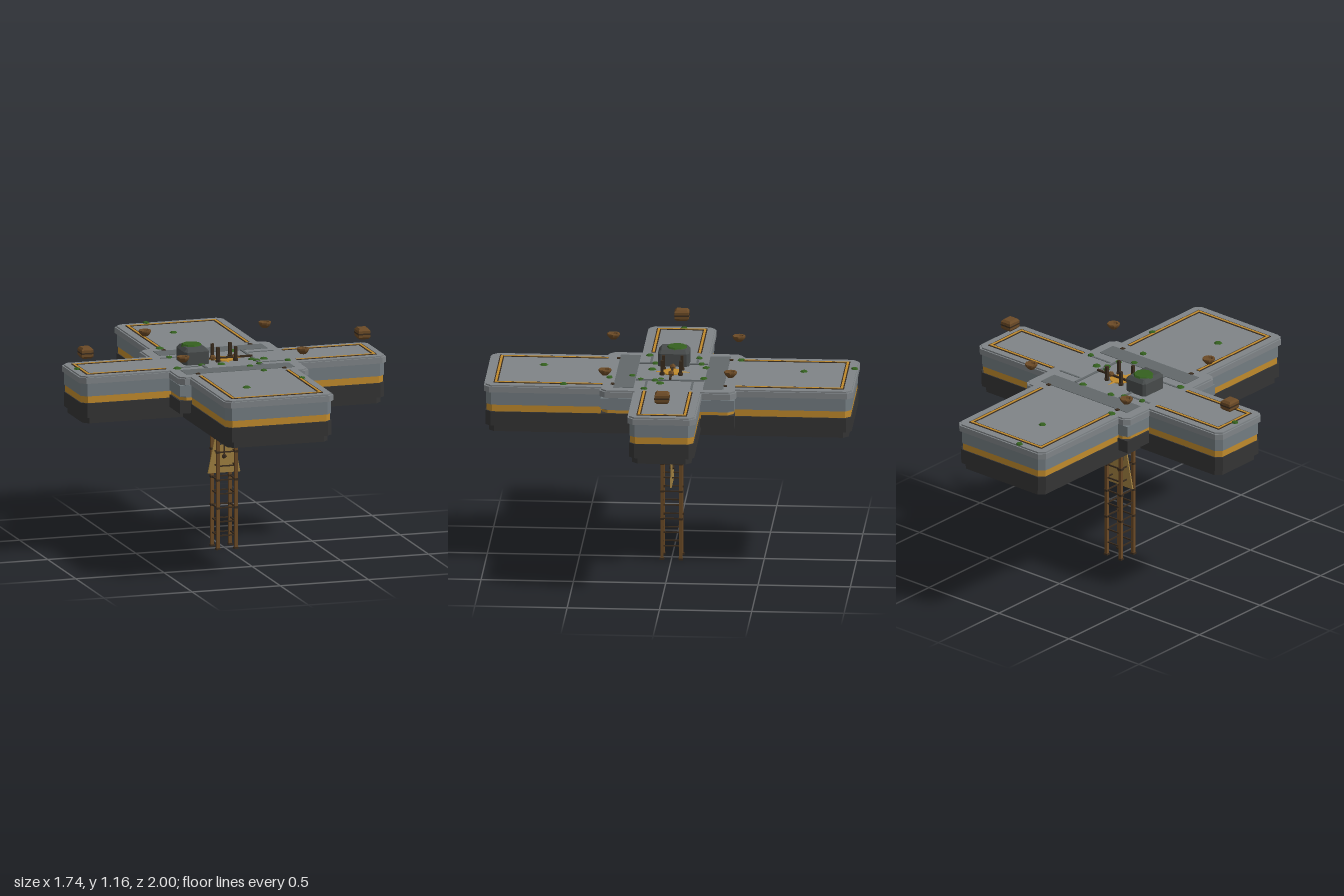
import * as THREE from 'three';

const mat = (name, hex) => {
  const m = new THREE.MeshStandardMaterial({ color: hex, side: THREE.DoubleSide, flatShading: true });
  m.name = name;
  return m;
};

export function createModel() {
  const root = new THREE.Group();
  root.name = 'crossPlatform';
  const M = {
    stone: mat('lightStone', 0x7f8487), wall: mat('wallStone', 0x737c81), strip: mat('darkStone', 0x62686a),
    gold: mat('gold', 0xc08a2c), dark: mat('charcoal', 0x343434), rock: mat('rock', 0x474b4b),
    moss: mat('moss', 0x34601f), wood: mat('brown', 0x6b4a26), iron: mat('darkBrown', 0x3a2c1e), brass: mat('brass', 0xa08040),
  };

  const add = (name, geo, material, x = 0, y = 0, z = 0, parent = root) => {
    const mesh = new THREE.Mesh(geo, material);
    mesh.name = name;
    mesh.position.set(x, y, z);
    parent.add(mesh);
    return mesh;
  };
  const box = (name, w, h, d, material, x, y, z, parent) =>
    add(name, new THREE.BoxGeometry(w, h, d), material, x, y, z, parent);

  // Cross outline with clipped arm ends and optional corner posts
  const crossShape = (inset, posts) => {
    const c = 0.03, X = 0.87 - inset, Z = 1 - inset, w = 0.185 - inset, v = 0.31 - inset, p = 0.37 - inset;
    const inner = posts ? [[p, w], [p, p - c], [p - c, p], [v, p]] : [[v, w]];
    const q = [[X, w - c], [X - c, w], ...inner, [v, Z - c], [v - c, Z]];
    const flip = (pts, sx, sy) => pts.map(([x, y]) => [x * sx, y * sy]);
    const r = [...q].reverse();
    const all = [...q, ...flip(r, -1, 1), ...flip(q, -1, -1), ...flip(r, 1, -1)];
    return new THREE.Shape(all.map(([x, y]) => new THREE.Vector2(x, y)));
  };

  // Stacked bands of the platform: name, bottom, top, inset, material, posts
  for (const [name, y0, y1, inset, material, posts] of [
    ['lowerBase', 0.775, 0.81, 0.025, M.dark, false],
    ['darkBand', 0.81, 0.842, 0.008, M.dark, false],
    ['darkBandWithPosts', 0.84, 0.89, 0.008, M.dark, true],
    ['goldBand', 0.89, 0.928, 0.014, M.gold, true],
    ['upperWall', 0.928, 1.0, 0.01, M.wall, true],
    ['deckEdge', 1.0, 1.032, 0, M.stone, true],
    ['deckTop', 1.032, 1.04, 0.008, M.stone, true],
  ]) {
    const geo = new THREE.ExtrudeGeometry(crossShape(inset, posts), { depth: y1 - y0, bevelEnabled: false });
    geo.rotateX(-Math.PI / 2);
    add(name, geo, material, 0, y0, 0);
  }

  // Post bulges in the inner corners
  for (const sx of [-1, 1]) for (const sz of [-1, 1]) {
    const bulge = (name, y, h, m) => box(name, 0.075, h, 0.18, m, sx * 0.3285, y, sz * 0.272);
    bulge('postFoot', 0.875, 0.07, M.dark);
    bulge('postCap', 0.965, 0.06, M.wall);
  }

  // Inlaid gold frames with dark borders, open toward the middle
  const frame = (half, start, end, angle) => {
    const g = new THREE.Group();
    g.name = 'inlayFrame';
    g.rotation.y = angle;
    const len = end - start;
    for (const [off, m, t, h] of [[0, M.iron, 0.024, 0.006], [0, M.gold, 0.012, 0.009]]) {
      for (const s of [-1, 1]) box('inlaySide', t, h, len, m, s * (half + off), 1.04, start + len / 2, g);
      box('inlayEnd', half * 2 + t, h, t, m, 0, 1.04, end, g);
    }
    root.add(g);
  };
  for (const a of [0, Math.PI]) {
    frame(0.247, 0.36, 0.937, a);
    frame(0.125, 0.37, 0.812, a + Math.PI / 2);
  }

  // Darker deck strips, paving ridges and rivets around the centre
  for (const s of [-1, 1]) {
    box('deckStrip', 0.615, 0.005, 0.11, M.strip, 0, 1.04, s * 0.243);
    box('pavingRidge', 0.014, 0.009, 0.37, M.strip, s * 0.157, 1.041, 0);
    for (const t of [-1, 1]) {
      box('sideStrip', 0.14, 0.005, 0.012, M.strip, s * 0.25, 1.04, t * 0.125);
      box('rivet', 0.02, 0.009, 0.02, M.iron, s * 0.245, 1.041, t * 0.305);
    }
  }

  // Central gold emblem, short posts and fallen bar
  add('centreDisc', new THREE.CylinderGeometry(0.055, 0.055, 0.008, 12), M.gold, 0, 1.042, 0);
  for (let i = 0; i < 4; i++) {
    const ray = add('centreRay', new THREE.ConeGeometry(0.012, 0.05, 4), M.gold, 0, 1.043, 0);
    const a = i * Math.PI / 2;
    ray.scale.z = 0.4;
    ray.rotation.set(Math.PI / 2, 0, -a);
    ray.position.set(Math.sin(a) * 0.076, 1.043, Math.cos(a) * 0.076);
  }
  for (const sx of [-1, 1]) for (const sz of [-1, 1]) {
    add('centrePostBase', new THREE.CylinderGeometry(0.014, 0.014, 0.015, 6), M.iron, sx * 0.05, 1.046, sz * 0.05);
    box('centrePost', 0.016, 0.08, 0.016, M.iron, sx * 0.05, 1.08, sz * 0.05);
  }
  box('fallenBar', 0.26, 0.01, 0.012, M.iron, 0.03, 1.05, 0);
  for (const s of [-1, 1]) add('barKnob', new THREE.IcosahedronGeometry(0.018, 0), M.wood, s * 0.063, 1.053, 0);

  // Chipped boulder with a moss cap
  const rockShape = new THREE.Shape([[-0.07, -0.07], [-0.055, -0.085], [0.06, -0.085], [0.07, -0.07],
    [0.07, 0.07], [0.055, 0.085], [-0.055, 0.085], [-0.07, 0.07]].map(([x, y]) => new THREE.Vector2(x, y)));
  const rock = new THREE.ExtrudeGeometry(rockShape,
    { depth: 0.07, bevelEnabled: true, bevelThickness: 0.02, bevelSize: 0.018, bevelOffset: -0.018, bevelSegments: 1 });
  rock.rotateX(-Math.PI / 2);
  add('boulder', rock, M.rock, -0.178, 1.04, 0);
  add('boulderMoss', new THREE.CylinderGeometry(0.05, 0.06, 0.014, 9), M.moss, -0.18, 1.131, -0.015);

  // Moss tufts on the deck
  [[-0.13, -0.98], [-0.06, -0.71], [-0.25, -0.36], [-0.83, -0.01], [-0.09, -0.18], [0.11, -0.18], [-0.27, -0.13],
    [-0.16, -0.15], [-0.05, 0.11], [0.14, 0.05], [0.16, 0.08], [0.21, 0.05], [0.32, 0.13], [0.08, 0.21],
    [-0.31, 0.14], [0.12, 0.33], [0.26, 0.57], [-0.095, 0.7], [0.15, 0.16], [-0.16, 0.1]].forEach(([x, z], i) => {
    const tuft = add('mossTuft', new THREE.CylinderGeometry(0.015, 0.02 + (i % 3) * 0.003, 0.009, 6), M.moss, x, 1.043, z);
    tuft.rotation.y = i * 1.3;
  });

  // Hovering bowls above the corner posts
  const bowl = [[0, 0], [0.016, 0], [0.03, 0.014], [0.035, 0.024], [0.035, 0.032], [0.024, 0.032], [0.018, 0.022], [0, 0.02]]
    .map(([x, y]) => new THREE.Vector2(x, y));
  for (const sx of [-1, 1]) for (const sz of [-1, 1])
    add('hoveringBowl', new THREE.LatheGeometry(bowl, 8), M.wood, sx * 0.34, 1.121, sz * 0.34);

  // Hovering chamfered blocks over the short arms
  for (const s of [-1, 1]) {
    const g = new THREE.Group();
    g.name = 'hoveringBlock';
    g.position.set(s * 0.785, 1.133, 0);
    for (const [y0, y1, a, b] of [[-0.03, -0.018, 0.72, 1], [-0.018, 0.018, 1, 1], [0.018, 0.03, 1, 0.72]]) {
      const geo = new THREE.CylinderGeometry(b, a, y1 - y0, 4);
      geo.rotateY(Math.PI / 4);
      geo.scale(0.033 * Math.SQRT2, 1, 0.039 * Math.SQRT2);
      add('blockLayer', geo, M.wood, 0, (y0 + y1) / 2, 0, g);
    }
    box('blockBand', 0.069, 0.008, 0.081, M.iron, 0, 0, 0, g);
    root.add(g);
  }

  // Lattice mast: four legs, collars, feet and rungs
  for (const sx of [-1, 1]) for (const sz of [-1, 1]) {
    const x = sx * 0.051, z = sz * 0.051;
    box('mastLeg', 0.017, 0.775, 0.017, M.wood, x, 0.3925, z);
    box('mastFoot', 0.024, 0.01, 0.024, M.iron, x, 0.005, z);
    for (const y of [0.23, 0.385, 0.54, 0.69]) box('mastCollar', 0.022, 0.012, 0.022, M.iron, x, y, z);
  }
  for (let i = 1; i <= 9; i++) for (const s of [-1, 1]) {
    box('mastRungX', 0.09, 0.007, 0.007, M.iron, 0, i * 0.077, s * 0.051);
    box('mastRungZ', 0.007, 0.007, 0.09, M.iron, s * 0.051, i * 0.077, 0);
  }

  // Hanging brass pennant with a dark panel
  const fin = new THREE.Shape([[-0.035, 0.69], [0.035, 0.69], [0.092, 0.415], [-0.092, 0.415]]
    .map(([x, y]) => new THREE.Vector2(x, y)));
  add('pennant', new THREE.ExtrudeGeometry(fin, { depth: 0.008, bevelEnabled: false }), M.brass, 0, 0, -0.004);
  box('pennantPanel', 0.058, 0.09, 0.016, M.dark, 0, 0.615, 0);
  for (const s of [-1, 1]) box('pennantHanger', 0.008, 0.09, 0.01, M.wood, s * 0.022, 0.73, 0);
  add('pennantKnob', new THREE.IcosahedronGeometry(0.016, 0), M.iron, 0, 0.505, 0);
  box('pennantRod', 0.008, 0.07, 0.014, M.iron, 0, 0.54, 0);

  return root;
}
